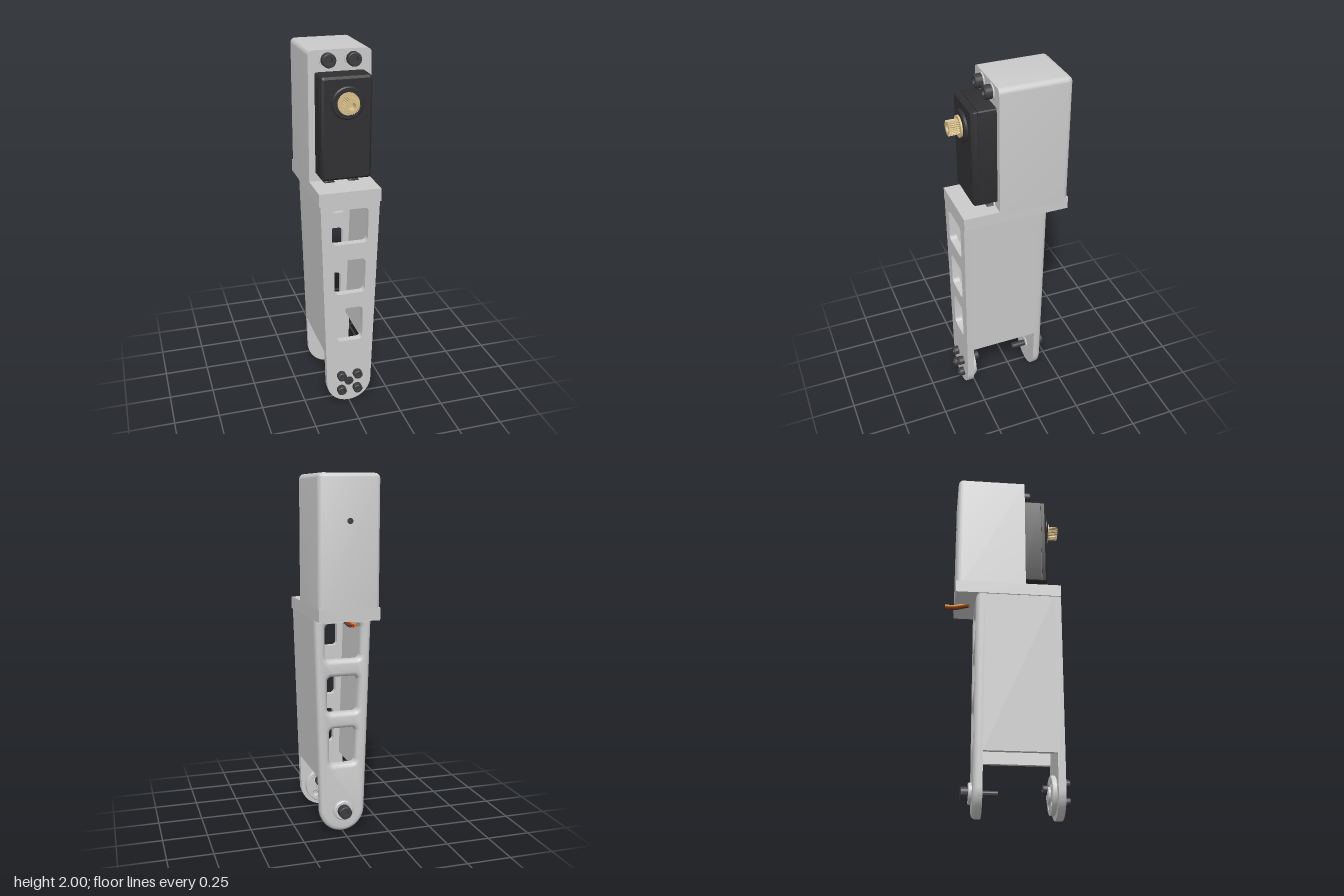
import * as THREE from 'three';
import { toCreasedNormals } from 'three/addons/utils/BufferGeometryUtils.js';
import { RoundedBoxGeometry } from 'three/addons/geometries/RoundedBoxGeometry.js';

const AXLE_Y = 0.13, SHAFT_Y = 1.755, COLLAR_Y = 1.23;
const mat = (color) => new THREE.MeshStandardMaterial({ color });

export function createModel() {
  const model = new THREE.Group();
  const grey = mat(0xcccccc), black = mat(0x303032), steel = mat(0x3c3c3f), brass = mat(0xd9bf8a);

  const add = (name, geometry, material = grey) => {
    const mesh = new THREE.Mesh(toCreasedNormals(geometry, 0.6), material);
    mesh.name = name;
    model.add(mesh);
    return mesh;
  };
  // Box given by its limits
  const box = (x0, x1, y0, y1, z0, z1) => new THREE.BoxGeometry(x1 - x0, y1 - y0, z1 - z0)
    .translate((x0 + x1) / 2, (y0 + y1) / 2, (z0 + z1) / 2);
  // Shape extruded from z0 to z1, with an optional edge bevel
  const slab = (shape, z0, z1, bevel = 0, segments = 4) => new THREE.ExtrudeGeometry(shape, {
    depth: z1 - z0 - 2 * bevel, curveSegments: 20, bevelEnabled: bevel > 0,
    bevelSize: bevel, bevelThickness: bevel, bevelOffset: -bevel, bevelSegments: segments,
  }).translate(0, 0, z0 + bevel);
  // Flatten everything past a limit, turning a rounded end into a square one
  const clamp = (geometry, axis, min, max) => {
    const p = geometry.attributes.position;
    for (let i = 0; i < p.count; i++) {
      p.setComponent(i, axis, Math.min(max, Math.max(min, p.getComponent(i, axis))));
    }
    return geometry;
  };
  // Profile [radius, offset] revolved about z, pointing forward (dir 1) or back (-1)
  const turned = (profile, x, y, z, dir = 1) => new THREE.LatheGeometry(
    profile.map(([r, h]) => new THREE.Vector2(r, h)), 32).rotateX(dir * Math.PI / 2).translate(x, y, z);
  const disc = (r, h, x, y, z, dir = 1) => turned([[r, 0], [r, h], [0, h]], x, y, z, dir);
  // Cap screw head with a socket
  const screw = (name, x, y, z, r, h, dir = 1) => add(name, turned([
    [r, 0], [r, h * 0.88], [r * 0.88, h], [r * 0.5, h], [r * 0.5, h * 0.4], [0, h * 0.4],
  ], x, y, z, dir), steel);
  const roundRect = (target, w, y0, y1, r) => {
    target.moveTo(-w + r, y0);
    target.lineTo(w - r, y0);
    target.absarc(w - r, y0 + r, r, -Math.PI / 2, 0);
    target.absarc(w - r, y1 - r, r, 0, Math.PI / 2);
    target.absarc(-w + r, y1 - r, r, Math.PI / 2, Math.PI);
    target.absarc(-w + r, y0 + r, r, Math.PI, Math.PI * 1.5);
    return target;
  };

  // Tapered leg plate with rounded foot and three windows
  const topW = 0.163, footW = 0.13;
  const legPlate = () => {
    const s = new THREE.Shape();
    s.moveTo(topW, COLLAR_Y);
    s.lineTo(-topW, COLLAR_Y);
    s.lineTo(-footW, AXLE_Y);
    s.absarc(0, AXLE_Y, footW, Math.PI, Math.PI * 2);
    s.lineTo(topW, COLLAR_Y);
    for (const [w, y0, y1] of [[0.1, 1.0, 1.2], [0.088, 0.7, 0.905], [0.076, 0.4, 0.61]]) {
      s.holes.push(roundRect(new THREE.Path(), w, y0, y1, 0.025));
    }
    return s;
  };
  add('frontLegPlate', slab(legPlate(), 0.27, 0.31));
  add('backLegPlate', clamp(slab(legPlate(), -0.17, -0.08, 0.025), 2, -0.17, -0.12));

  // Thin side walls joining the plates above the fork
  const widthAt = (y) => footW + (topW - footW) * (y - AXLE_Y) / (COLLAR_Y - AXLE_Y);
  for (const side of [1, -1]) {
    const wall = new THREE.Shape([[0, 0.325], [0, COLLAR_Y], [0.025, COLLAR_Y], [0.025, 0.325]]
      .map(([inset, y]) => new THREE.Vector2(side * (widthAt(y) - inset), y)));
    add(side > 0 ? 'leftLegWall' : 'rightLegWall', slab(wall, -0.12, 0.27));
  }

  // Collar and servo housing, rounded everywhere but front and bottom
  add('collar', box(-0.17, 0.17, COLLAR_Y, 1.3, -0.285, 0.31));
  const housing = new RoundedBoxGeometry(0.34, 0.9, 0.5, 4, 0.028).translate(0, 1.55, -0.035);
  add('housing', clamp(clamp(housing, 2, -0.285, 0.11), 1, 1.28, 2));
  add('housingBackHole', disc(0.016, 0.002, 0, SHAFT_Y, -0.2845, -1), steel);

  // Servo
  add('servoBody', slab(roundRect(new THREE.Shape(), 0.135, 1.342, 1.888, 0.012), 0.1, 0.207), black);
  add('servoSeam', box(-0.131, 0.131, 1.348, 1.882, 0.2, 0.215), black);
  add('servoCap', clamp(slab(roundRect(new THREE.Shape(), 0.135, 1.342, 1.888, 0.015),
    0.18, 0.243, 0.012, 1), 2, 0.211, 0.243), black);
  add('servoBoss', turned([[0.086, 0], [0.086, 0.014], [0.08, 0.02], [0, 0.02]], 0, SHAFT_Y, 0.24), black);
  add('shaftCollar', disc(0.058, 0.01, 0, SHAFT_Y, 0.26), brass);

  // Splined output shaft
  const teeth = 24, spline = new THREE.Shape();
  for (let i = 0; i < teeth * 4; i++) {
    const a = (i / (teeth * 4)) * Math.PI * 2, r = i % 4 < 2 ? 0.041 : 0.035;
    spline[i ? 'lineTo' : 'moveTo'](r * Math.cos(a), r * Math.sin(a));
  }
  spline.holes.push(new THREE.Path().absarc(0, 0, 0.02, 0, Math.PI * 2));
  add('outputShaft', slab(spline, 0, 0.055), brass).position.set(0, SHAFT_Y, 0.27);

  // Servo mounting screws with washers
  for (const x of [-0.068, 0.068]) {
    for (const y of [1.95, 1.279]) {
      add('mountWasher', disc(0.044, 0.006, x, y, 0.11));
      screw('mountScrew', x, y, 0.11, 0.037, 0.045);
    }
  }

  // Servo lead of three wires
  [0xd9861f, 0xb03030, 0x5f3d2a].forEach((color, i) => {
    const x = (i - 1) * 0.0155;
    const path = new THREE.CatmullRomCurve3([
      [-0.19, 1.24], [-0.24, 1.226], [-0.285, 1.216], [-0.34, 1.215],
    ].map(([z, y]) => new THREE.Vector3(x, y, z)));
    const wire = add('wire', new THREE.TubeGeometry(path, 16, 0.008, 10), mat(color));
    wire.material.side = THREE.DoubleSide;
  });

  // Horn disc inside the front fork, with its screws
  const horn = new THREE.Shape().absarc(0, AXLE_Y, 0.105, 0, Math.PI * 2);
  for (let i = 0; i < 4; i++) {
    const a = Math.PI / 4 + i * Math.PI / 2;
    const x = 0.067 * Math.cos(a), y = AXLE_Y + 0.067 * Math.sin(a);
    horn.holes.push(new THREE.Path().absarc(x, y, 0.014, 0, Math.PI * 2));
    screw('hornScrew', x, y, 0.31, 0.026, 0.033);
  }
  add('hornDisc', slab(horn, 0.243, 0.27, 0.004, 1));
  add('hornHub', disc(0.045, 0.012, 0, AXLE_Y, 0.243, -1));
  screw('hornCentreScrew', 0.025, 0.165, 0.243, 0.026, 0.036, -1);
  screw('frontCentreScrew', 0, AXLE_Y, 0.309, 0.026, 0.006);

  // Pivot bolt and bearing in the back fork
  add('pivotBearing', turned([[0.058, 0], [0.058, 0.014], [0.052, 0.019], [0.042, 0.019], [0.042, 0.014],
    [0, 0.014]], 0, AXLE_Y, -0.17, -1));
  add('innerBearing', disc(0.04, 0.006, 0, AXLE_Y, -0.12));
  add('pivotBolt', disc(0.018, 0.09, 0, AXLE_Y, -0.12), steel);
  screw('pivotBoltHead', 0, AXLE_Y, -0.184, 0.036, 0.046, -1);

  return model;
}
